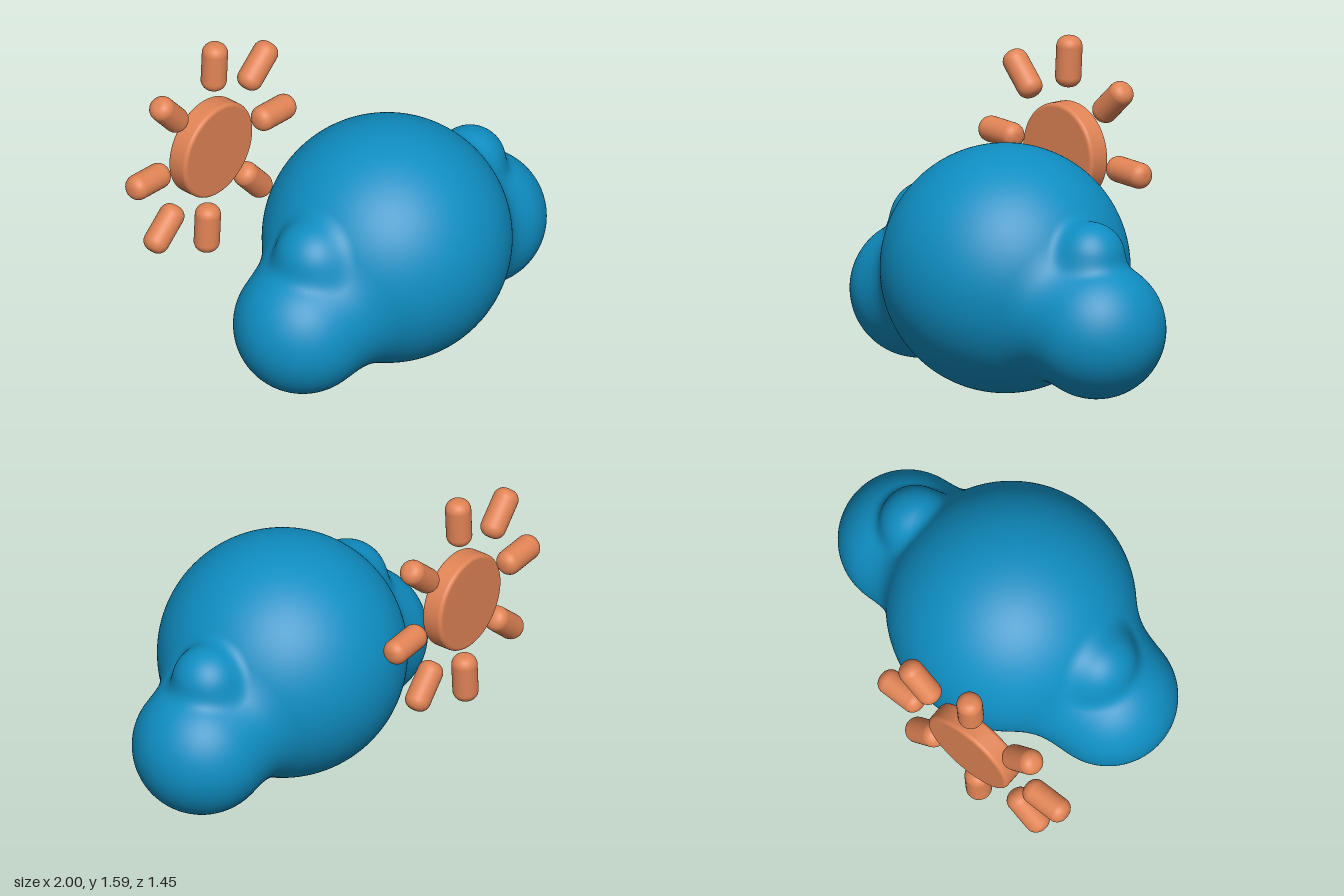
import * as THREE from 'three';

const blue = new THREE.MeshStandardMaterial({ color: 0x0f8ec2 });
const orange = new THREE.MeshStandardMaterial({ color: 0xe08355 });

// Distance to a sphere, and a rounded union of two distances
const ball = (p, x, y, z, r) => Math.hypot(p.x - x, p.y - y, p.z - z) - r;
function blend(a, b, k) {
  const h = Math.max(k - Math.abs(a - b), 0) / k;
  return Math.min(a, b) - h * h * k * 0.25;
}

// Cloud shape: big puff, two side puffs, two small bumps on top of those
const CENTRE = new THREE.Vector3(0, 0.615, 0.115);
function cloudDistance(p) {
  let d = ball(p, 0, 0.615, 0.115, 0.61);
  d = blend(d, ball(p, 0.655, 0.415, 0.115, 0.34), 0.17);
  d = blend(d, ball(p, -0.615, 0.415, 0.115, 0.34), 0.17);
  d = blend(d, ball(p, 0.605, 0.765, 0.115, 0.175), 0.06);
  return blend(d, ball(p, -0.53, 0.765, 0.12, 0.2), 0.06);
}

// Pull the vertices of a sphere inward along their rays onto the cloud surface
function cloudGeometry() {
  const geo = new THREE.SphereGeometry(1, 192, 144).rotateZ(-Math.PI / 2);
  const pos = geo.attributes.position, nor = geo.attributes.normal;
  const dir = new THREE.Vector3(), p = new THREE.Vector3(), n = new THREE.Vector3();
  const e = 0.002;
  for (let i = 0; i < pos.count; i++) {
    dir.fromBufferAttribute(pos, i).normalize();
    let t = 1.2;
    for (let s = 0; s < 150; s++) {
      const d = cloudDistance(p.copy(dir).multiplyScalar(t).add(CENTRE));
      t -= d * 0.9;
      if (Math.abs(d) < 1e-5) break;
    }
    p.copy(dir).multiplyScalar(t).add(CENTRE);
    pos.setXYZ(i, p.x, p.y, p.z);
    // Normal from the slope of the distance
    for (const axis of ['x', 'y', 'z']) {
      const q = p.clone();
      q[axis] += e;
      const ahead = cloudDistance(q);
      q[axis] -= 2 * e;
      n[axis] = ahead - cloudDistance(q);
    }
    n.normalize();
    nor.setXYZ(i, n.x, n.y, n.z);
  }
  return geo;
}

// Cylinder along y with rounded rims
function roundedCylinder(radius, length, corner, segments) {
  const pts = [new THREE.Vector2(0, -length / 2)];
  for (const side of [-1, 1]) {
    for (let i = 0; i <= 8; i++) {
      const a = (side < 0 ? i / 8 - 1 : i / 8) * Math.PI / 2;
      pts.push(new THREE.Vector2(
        radius - corner + corner * Math.cos(a),
        side * (length / 2 - corner) + corner * Math.sin(a)));
    }
  }
  pts.push(new THREE.Vector2(0, length / 2));
  return new THREE.LatheGeometry(pts, segments);
}

function part(name, geometry, material) {
  const mesh = new THREE.Mesh(geometry, material);
  mesh.name = name;
  return mesh;
}

export function createModel() {
  const model = new THREE.Group();
  model.name = 'cloudAndSun';
  model.add(part('cloud', cloudGeometry(), blue));

  // Sun: disc and a ring of eight rays, standing behind the cloud
  const sun = new THREE.Group();
  sun.name = 'sun';
  sun.position.set(-0.415, 1.005, -0.664);
  const disc = part('sunDisc', roundedCylinder(0.25, 0.115, 0.02, 64), orange);
  disc.rotation.x = Math.PI / 2;
  sun.add(disc);

  const rayGeometry = roundedCylinder(0.064, 0.255, 0.052, 32);
  for (let i = 0; i < 8; i++) {
    const angle = THREE.MathUtils.degToRad(-3.2 + i * 45);
    const ray = part('sunRay', rayGeometry, orange);
    ray.position.set(-Math.sin(angle) * 0.459, Math.cos(angle) * 0.459, 0);
    ray.rotation.z = angle;
    sun.add(ray);
  }
  model.add(sun);
  return model;
}
